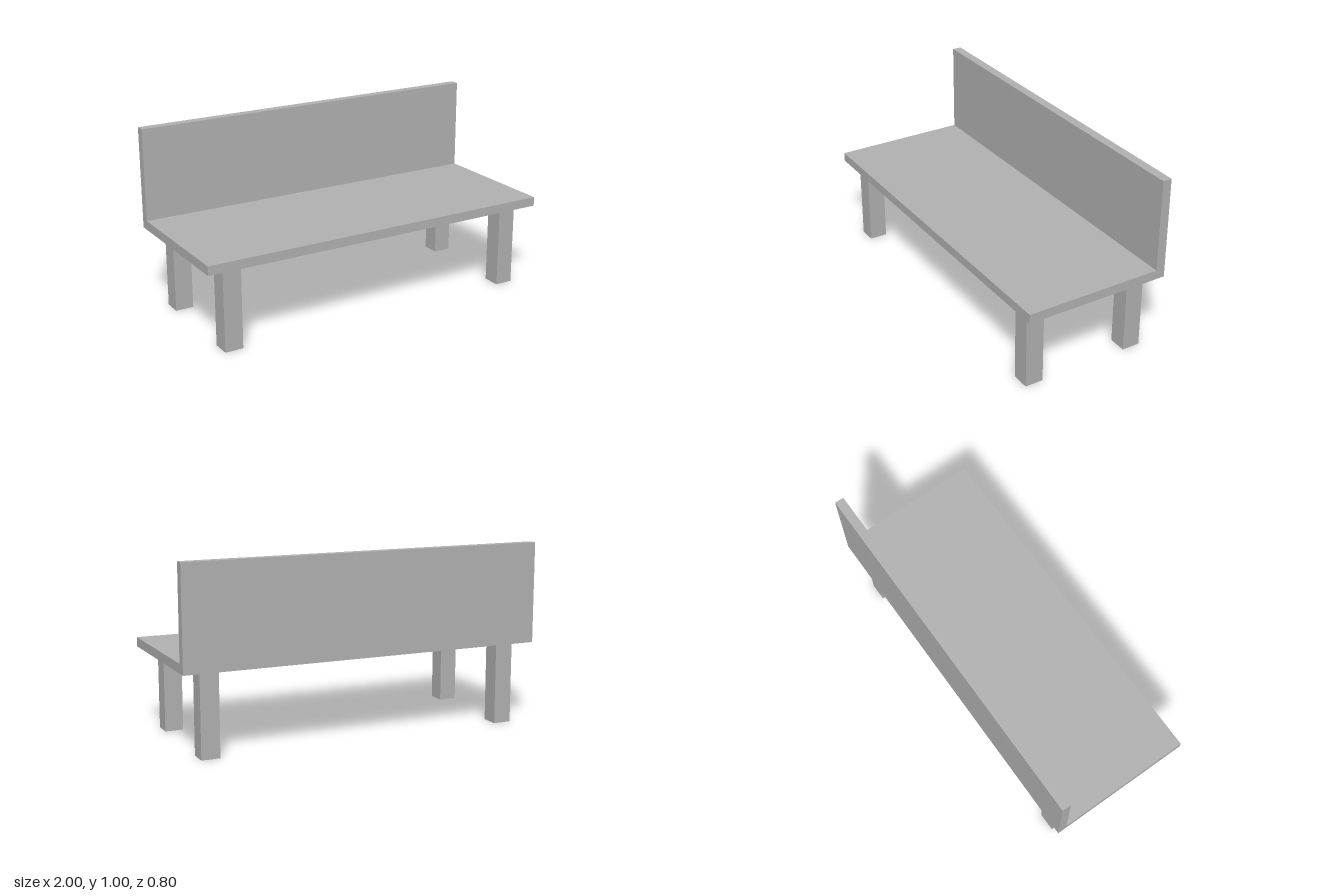
import * as THREE from 'three';

export function createModel() {
  const bench = new THREE.Group();
  bench.name = 'bench';
  const grey = new THREE.MeshStandardMaterial({ color: 0xb2b2b2 });
  grey.name = 'grey';

  const add = (name, geometry) => {
    const mesh = new THREE.Mesh(geometry, grey);
    mesh.name = name;
    bench.add(mesh);
    return mesh;
  };

  // Seat and backrest: one L-shaped side profile (z, y) swept along the width
  const width = 2;
  const profile = new THREE.Shape([
    [-0.4, 0.45], [0.4, 0.45], [0.4, 0.5], [-0.35, 0.5], [-0.35, 1], [-0.4, 1],
  ].map(([z, y]) => new THREE.Vector2(z, y)));
  const body = new THREE.ExtrudeGeometry(profile, { depth: width, bevelEnabled: false });
  body.translate(0, 0, -width / 2).rotateY(-Math.PI / 2);
  add('seatAndBackrest', body);

  // Four square legs
  const leg = new THREE.BoxGeometry(0.1, 0.45, 0.1);
  for (const [side, x] of [['Left', 0.85], ['Right', -0.85]]) {
    for (const [end, z] of [['front', 0.3], ['back', -0.3]]) {
      add(`${end}${side}Leg`, leg).position.set(x, 0.225, z);
    }
  }

  return bench;
}
